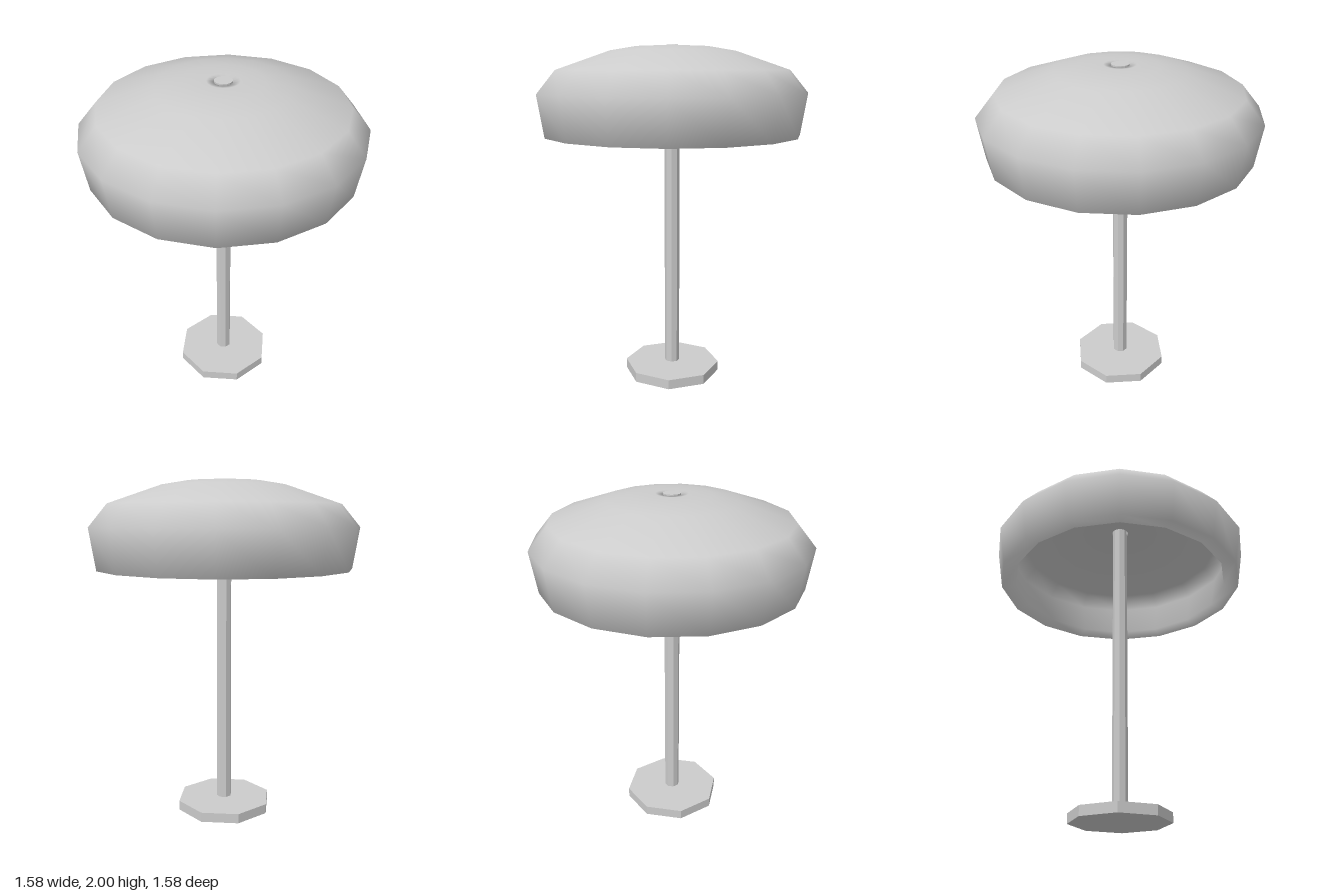
import * as THREE from 'three';

export function createModel() {
  const lamp = new THREE.Group();
  lamp.name = 'tableLamp';

  const smooth = new THREE.MeshStandardMaterial({ color: 0xcccccc, side: THREE.DoubleSide });
  const faceted = new THREE.MeshStandardMaterial({ color: 0xcccccc, flatShading: true });
  const turn = 0.04; // slight twist of the shade about its axis

  // Upright prism standing between two heights
  const addPrism = (name, radius, bottom, top, sides, angle = 0) => {
    const mesh = new THREE.Mesh(
      new THREE.CylinderGeometry(radius, radius, top - bottom, sides), faceted);
    mesh.name = name;
    mesh.position.y = (bottom + top) / 2;
    mesh.rotation.y = angle;
    lamp.add(mesh);
  };

  addPrism('base', 0.29, 0, 0.058, 8);
  addPrism('pole', 0.045, 0.065, 1.97, 8);
  addPrism('cap', 0.05, 1.96, 2, 16, turn);

  // Shade: a thick domed shell with a hole at the top,
  // from the inner top down round the rim, up the outside and into the hole
  const inner = [[0.052, 1.9], [0.2, 1.898], [0.35, 1.876], [0.63, 1.785], [0.703, 1.706], [0.663, 1.504]];
  const outer = [[0.752, 1.49], [0.79, 1.73], [0.682, 1.86], [0.37, 1.967], [0.22, 1.992], [0.09, 1.997], [0.052, 1.993]];
  const profile = [...inner, ...outer, inner[0]].map(([r, y]) => new THREE.Vector2(r, y));
  const shade = new THREE.Mesh(new THREE.LatheGeometry(profile, 16, turn), smooth);
  shade.name = 'shade';
  lamp.add(shade);

  return lamp;
}
